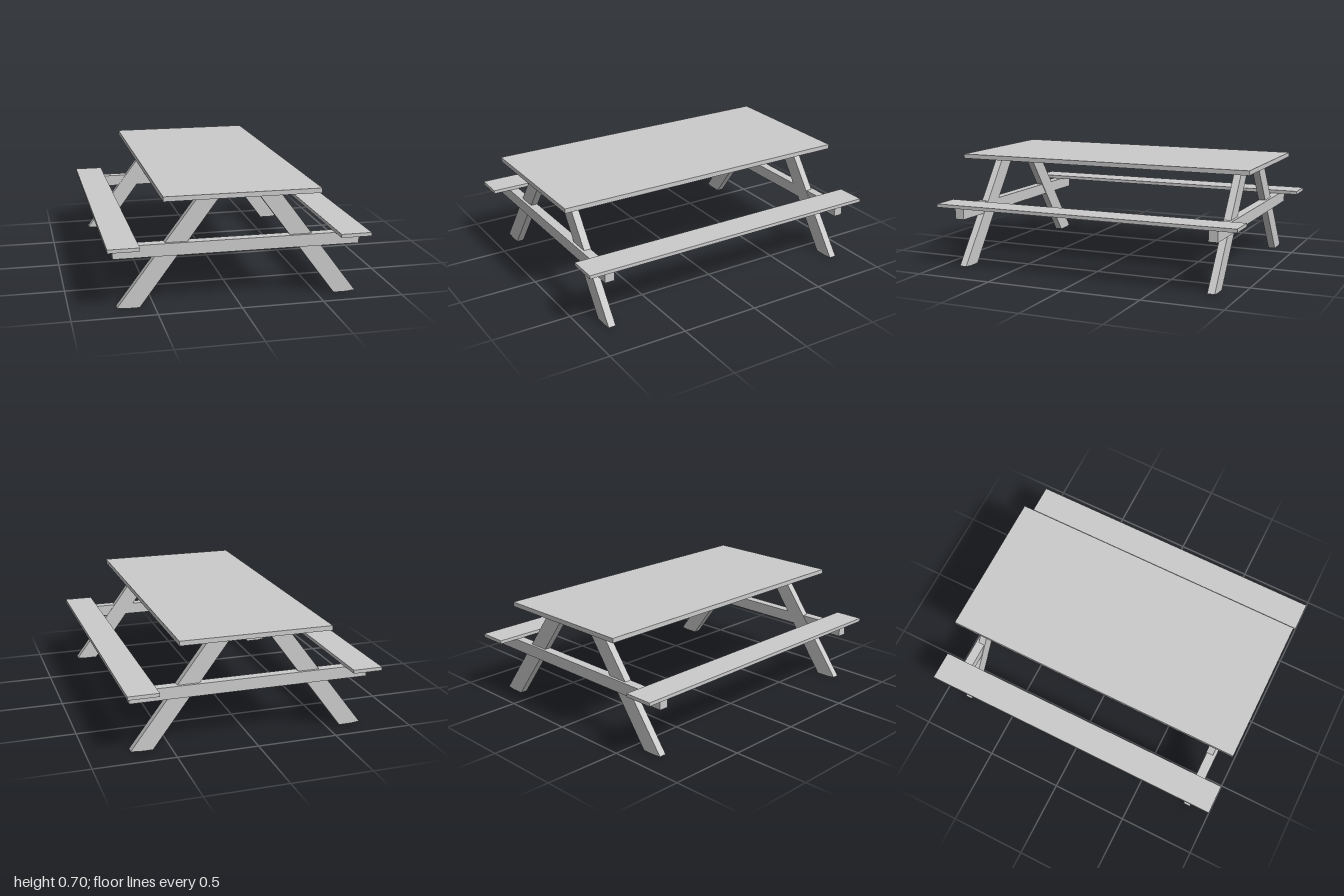
import * as THREE from 'three';

export function createModel() {
  const model = new THREE.Group();
  model.name = 'picnicTable';
  const material = new THREE.MeshStandardMaterial({ color: 0xcccccc, flatShading: true });

  const add = (name, geometry) => {
    const mesh = new THREE.Mesh(geometry, material);
    mesh.name = name;
    model.add(mesh);
    return mesh;
  };

  // Board given by its extents along each axis
  const board = (name, [x0, x1], [y0, y1], [z0, z1]) =>
    add(name, new THREE.BoxGeometry(x1 - x0, y1 - y0, z1 - z0))
      .position.set((x0 + x1) / 2, (y0 + y1) / 2, (z0 + z1) / 2);

  // Slanted leg: outline in the xy plane, extruded along z
  const leg = (name, outline, [z0, z1]) => {
    const shape = new THREE.Shape(outline.map(([x, y]) => new THREE.Vector2(x, y)));
    add(name, new THREE.ExtrudeGeometry(shape, { depth: z1 - z0, bevelEnabled: false }))
      .position.z = z0;
  };

  // Tabletop and the two benches
  board('tabletop', [-0.462, 0.474], [0.668, 0.697], [-0.972, 0.987]);
  board('leftBench', [0.598, 0.786], [0.389, 0.411], [-1, 1]);
  board('rightBench', [-0.786, -0.6], [0.389, 0.411], [-1, 1]);

  // Leg outlines, with feet cut almost level
  const leftLeg = [[0.609, 0], [0.69, 0], [0.744, 0.006], [0.248, 0.668], [0.113, 0.668]];
  const rightLeg = [[-0.723, 0.006], [-0.669, 0], [-0.588, 0], [-0.093, 0.668], [-0.225, 0.668]];

  // Each end frame: two legs and the crossbeam carrying the benches
  const ends = [
    { end: 'front', legZ: [0.821, 0.868], beamZ: [0.825, 0.887] },
    { end: 'back', legZ: [-0.86, -0.814], beamZ: [-0.877, -0.818] },
  ];
  for (const { end, legZ, beamZ } of ends) {
    leg(`${end}LeftLeg`, leftLeg, legZ);
    leg(`${end}RightLeg`, rightLeg, legZ);
    board(`${end}Crossbeam`, [-0.744, 0.75], [0.314, 0.389], beamZ);
  }

  return model;
}
